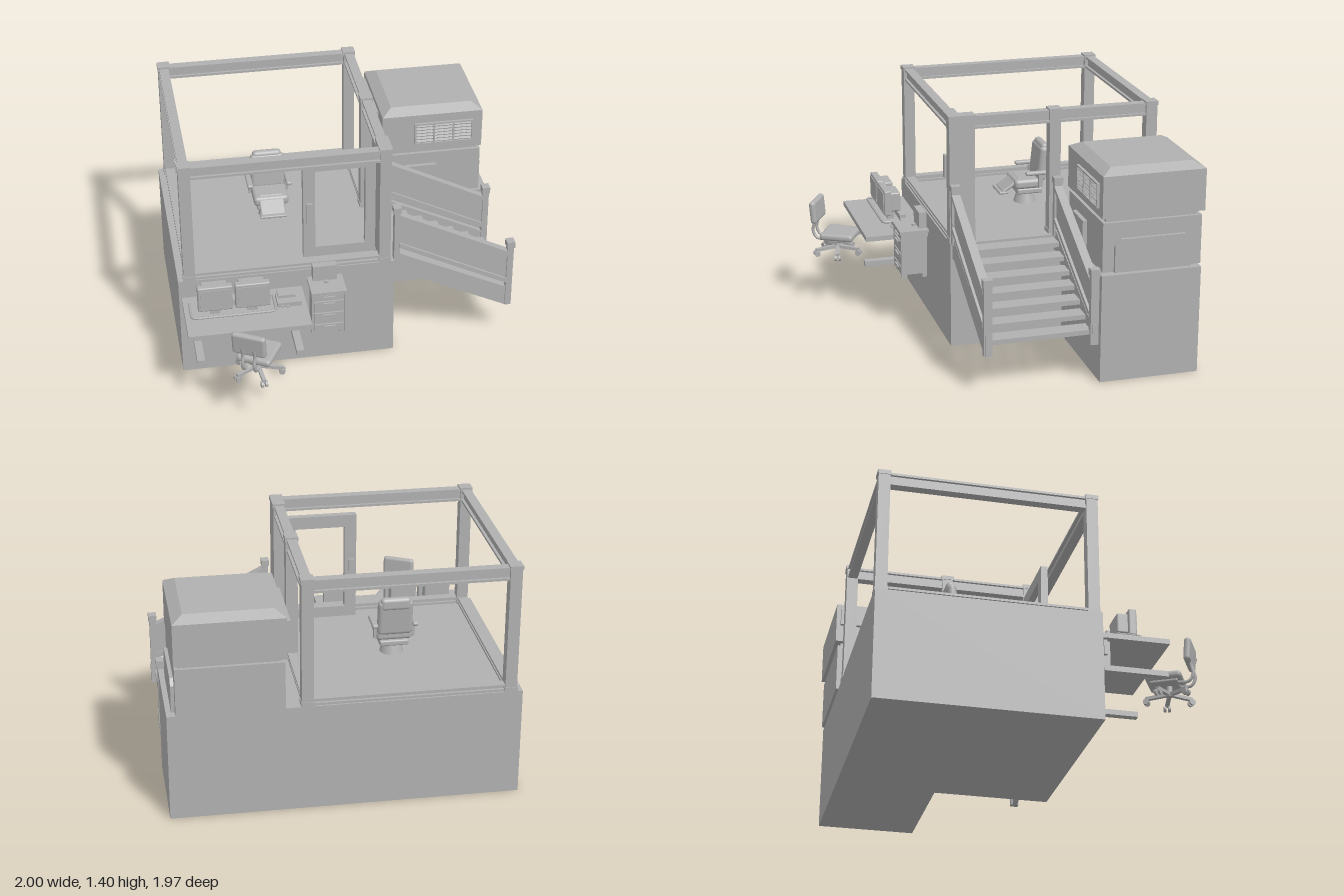
import * as THREE from 'three';
import { RoundedBoxGeometry } from 'three/addons/geometries/RoundedBoxGeometry.js';

const grey = new THREE.MeshStandardMaterial({ color: 0xb0b0b0 });
grey.name = 'plain grey';

function add(parent, name, geo, x = 0, y = 0, z = 0) {
  const m = new THREE.Mesh(geo, grey);
  m.name = name;
  m.position.set(x, y, z);
  parent.add(m);
  return m;
}
// box given by its limits on each axis
function box(parent, name, x0, x1, y0, y1, z0, z1) {
  return add(parent, name, new THREE.BoxGeometry(x1 - x0, y1 - y0, z1 - z0),
    (x0 + x1) / 2, (y0 + y1) / 2, (z0 + z1) / 2);
}
function soft(parent, name, w, h, d, r, x, y, z) {
  return add(parent, name, new RoundedBoxGeometry(w, h, d, 3, r), x, y, z);
}
// outline in x,y pushed out along z
function slab(parent, name, pts, z0, depth) {
  const s = new THREE.Shape(pts.map(p => new THREE.Vector2(p[0], p[1])));
  return add(parent, name, new THREE.ExtrudeGeometry(s, { depth, bevelEnabled: false }), 0, 0, z0);
}
function group(parent, name, x = 0, y = 0, z = 0) {
  const g = new THREE.Group();
  g.name = name;
  g.position.set(x, y, z);
  parent.add(g);
  return g;
}

// L-shaped base
function base(root) {
  const s = new THREE.Shape([[-1, -0.31], [0.27, -0.31], [0.27, 0.37], [0.99, 0.37], [0.99, 0.955], [-1, 0.955]]
    .map(p => new THREE.Vector2(p[0], p[1])));
  const g = new THREE.ExtrudeGeometry(s, { depth: 0.64, bevelEnabled: false });
  g.rotateX(-Math.PI / 2);
  add(root, 'base', g);
}

// open cab frame: posts, channel beams and sills
function cab(root) {
  const c = group(root, 'cabFrame');
  const posts = [[-0.97, -0.895, -0.955, -0.88], [0.175, 0.25, -0.955, -0.88], [-0.97, -0.895, 0.235, 0.31],
    [0.175, 0.25, 0.15, 0.31], [0.175, 0.25, -0.365, -0.29]];
  for (const [x0, x1, z0, z1] of posts) {
    box(c, 'post', x0 + 0.004, x1 - 0.004, 0.64, 1.375, z0 + 0.004, z1 - 0.004);
    box(c, 'postCap', x0, x1, 1.375, 1.4, z0, z1);
    box(c, 'postFoot', x0, x1, 0.64, 0.665, z0, z1);
  }
  const alongX = (name, z, y0, y1) => {
    box(c, name, -0.9, 0.18, y0, y1, z - 0.012, z + 0.012);
    box(c, name + 'Flange', -0.9, 0.18, y1 - 0.014, y1, z - 0.028, z + 0.028);
    box(c, name + 'Flange', -0.9, 0.18, y0, y0 + 0.014, z - 0.028, z + 0.028);
  };
  const alongZ = (name, x, z0, z1, y0, y1) => {
    box(c, name, x - 0.012, x + 0.012, y0, y1, z0, z1);
    box(c, name + 'Flange', x - 0.028, x + 0.028, y1 - 0.014, y1, z0, z1);
    box(c, name + 'Flange', x - 0.028, x + 0.028, y0, y0 + 0.014, z0, z1);
  };
  for (const z of [-0.917, 0.273]) {
    alongX('beam', z, 1.315, 1.39);
    alongX('sill', z, 0.64, 0.68);
  }
  alongZ('beam', -0.932, -0.89, 0.24, 1.315, 1.39);
  alongZ('sill', -0.932, -0.89, 0.24, 0.64, 0.68);
  alongZ('beam', 0.212, -0.89, 0.16, 1.315, 1.39);
  alongZ('sill', 0.212, -0.89, -0.36, 0.64, 0.68);

  // open door standing inside the cab
  const s = new THREE.Shape([[-0.25, 0.65], [0.175, 0.65], [0.175, 1.305], [-0.25, 1.305]].map(p => new THREE.Vector2(...p)));
  s.holes.push(new THREE.Path([[-0.18, 0.715], [-0.18, 1.23], [0.115, 1.23], [0.115, 0.715]].map(p => new THREE.Vector2(...p))));
  add(c, 'door', new THREE.ExtrudeGeometry(s, { depth: 0.042, bevelEnabled: false }), 0, 0, 0.155);
  for (const z of [0.135, 0.217]) {
    box(c, 'doorHandle', -0.235, -0.198, 0.89, 1.03, z - 0.008, z + 0.008);
    for (const y of [0.905, 1.005]) box(c, 'handleMount', -0.226, -0.207, y, y + 0.015, Math.min(z, 0.17), Math.max(z, 0.18));
  }
}

// stair with panelled sides
function stairs(root) {
  const g = group(root, 'stairs');
  const line = (y0, y1, h) => [[0.3, y0 - h], [0.96, y1 - h], [0.96, y1], [0.3, y0]];
  for (const z of [0.255, -0.36]) {
    slab(g, 'sidePanel', line(0.94, 0.61, 0.2), z + 0.018, 0.02);
    slab(g, 'handrail', line(0.95, 0.62, 0.03), z + 0.003, 0.05);
    slab(g, 'lowerRail', line(0.755, 0.425, 0.03), z + 0.003, 0.05);
    slab(g, 'stringer', [[0.27, 0.55], [0.305, 0.55], [0.95, 0.235], [0.995, 0.235], [0.995, 0.36], [0.96, 0.36], [0.3, 0.68], [0.27, 0.68]], z + 0.012, 0.03);
    box(g, 'topPost', 0.268, 0.302, 0.64, 0.98, z + 0.004, z + 0.051);
    box(g, 'topPostCap', 0.262, 0.308, 0.965, 1.0, z, z + 0.055);
    box(g, 'bottomPost', 0.955, 0.992, 0.235, 0.66, z + 0.004, z + 0.051);
    box(g, 'bottomPostCap', 0.95, 0.998, 0.645, 0.685, z, z + 0.055);
  }
  for (let i = 0; i < 7; i++) {
    const x = 0.27 + 0.1 * i, y = 0.625 - 0.051 * i;
    box(g, 'tread', x, x + 0.1, y - 0.028, y, -0.33, 0.275);
  }
}

// cooling unit on the rear corner
function cooler(root) {
  const g = group(root, 'coolingUnit');
  box(g, 'lowerCase', 0.337, 0.94, 0.64, 0.93, -0.97, -0.388);
  box(g, 'neck', 0.36, 0.92, 0.93, 0.955, -0.95, -0.41);
  box(g, 'upperCase', 0.328, 0.945, 0.955, 1.2, -0.985, -0.382);
  const lid = new THREE.BoxGeometry(0.617, 0.036, 0.603);
  const p = lid.attributes.position;
  for (let i = 0; i < p.count; i++) if (p.getY(i) > 0) {
    p.setX(i, p.getX(i) - Math.sign(p.getX(i)) * 0.062);
    p.setZ(i, p.getZ(i) - Math.sign(p.getZ(i)) * 0.062);
  }
  lid.computeVertexNormals();
  add(g, 'slopedLid', lid, 0.6365, 1.218, -0.6835);
  // grille
  for (const y of [1.002, 1.137]) box(g, 'grilleFrame', 0.525, 0.887, y, y + 0.01, -0.383, -0.365);
  for (const x of [0.525, 0.64, 0.76, 0.877]) box(g, 'grilleBar', x, x + 0.01, 1.002, 1.147, -0.383, -0.366);
  for (let i = 0; i < 6; i++) {
    const slat = box(g, 'grilleSlat', 0.535, 0.88, 1.02 + i * 0.021, 1.025 + i * 0.021, -0.386, -0.368);
    slat.rotation.x = 0.5;
  }
  box(g, 'sideDuct', 0.305, 0.33, 1.06, 1.17, -0.96, -0.52);
  box(g, 'controlBox', 0.47, 0.665, 0.645, 0.855, -0.39, -0.362);
  const hatch = slab(g, 'sideHatch', [[-0.225, 0.64], [0.225, 0.64], [0.225, 0.8], [0.19, 0.835], [-0.19, 0.835], [-0.225, 0.8]], 0, 0.022);
  hatch.rotation.y = Math.PI / 2;
  hatch.position.set(0.938, 0, -0.68);
}

// desk, screens and small equipment in front of the wall
function workplace(root) {
  const g = group(root, 'workplace');
  box(g, 'deskTop', -0.985, -0.28, 0.497, 0.527, 0.31, 0.695);
  box(g, 'deskApron', -0.96, -0.31, 0.41, 0.497, 0.325, 0.345);
  for (const x of [-0.92, -0.35]) {
    box(g, 'deskColumn', x - 0.018, x + 0.018, 0.33, 0.497, 0.318, 0.365);
    box(g, 'deskFoot', x - 0.022, x + 0.022, 0.32, 0.352, 0.33, 0.695);
  }
  for (const x of [-0.81, -0.595]) {
    soft(g, 'screen', 0.2, 0.16, 0.045, 0.008, x, 0.652, 0.51);
    soft(g, 'screenBack', 0.15, 0.12, 0.07, 0.01, x, 0.65, 0.46);
    box(g, 'screenBezel', x - 0.085, x + 0.085, 0.592, 0.715, 0.531, 0.537);
    box(g, 'screenNeck', x - 0.03, x + 0.03, 0.53, 0.6, 0.46, 0.5);
  }
  const rail = new THREE.CatmullRomCurve3([[-0.95, 0.4], [-0.95, 0.52], [-0.925, 0.55], [-0.49, 0.55], [-0.465, 0.52], [-0.465, 0.4]]
    .map(p => new THREE.Vector3(p[0], 0.545, p[1])), false, 'catmullrom', 0.2);
  add(g, 'screenStandRail', new THREE.TubeGeometry(rail, 40, 0.008, 6));
  box(g, 'cableTray', -0.88, -0.53, 0.527, 0.56, 0.39, 0.43);
  box(g, 'deskUnit', -0.45, -0.31, 0.527, 0.555, 0.38, 0.5);
  box(g, 'deskUnitTop', -0.44, -0.34, 0.555, 0.572, 0.385, 0.45);
  for (const x of [-0.43, -0.4]) box(g, 'deskUnitKey', x, x + 0.015, 0.53, 0.54, 0.5, 0.512);

  // drawer cabinet
  box(g, 'cabinet', -0.245, -0.065, 0.345, 0.61, 0.37, 0.52);
  box(g, 'cabinetTop', -0.258, -0.052, 0.605, 0.622, 0.36, 0.535);
  box(g, 'wallBox', -0.23, -0.09, 0.622, 0.72, 0.365, 0.41);
  for (const [y0, y1] of [[0.35, 0.395], [0.405, 0.475], [0.485, 0.555], [0.57, 0.6]]) {
    box(g, 'drawer', -0.24, -0.07, y0, y1, 0.515, 0.53);
    box(g, 'drawerPull', -0.19, -0.12, y1 - 0.016, y1 - 0.008, 0.53, 0.54);
  }
  for (const x of [-0.25, -0.06]) box(g, 'cabinetEdge', x - 0.007, x + 0.007, 0.33, 0.605, 0.505, 0.53);
  for (const x of [-0.23, -0.08]) for (const z of [0.385, 0.505])
    box(g, 'cabinetFoot', x - 0.013, x + 0.013, 0.32, 0.346, z - 0.013, z + 0.013);
  add(g, 'topKnob', new THREE.CylinderGeometry(0.012, 0.012, 0.012, 16), -0.155, 0.627, 0.43);
}

// swivel chair by the desk
function deskChair(root) {
  const g = group(root, 'deskChair', -0.61, 0, 0.81);
  g.rotation.y = -0.5;
  soft(g, 'seat', 0.205, 0.045, 0.21, 0.02, 0, 0.452, -0.02);
  soft(g, 'seatPan', 0.16, 0.02, 0.16, 0.008, 0, 0.425, -0.02);
  const back = soft(g, 'backrest', 0.2, 0.14, 0.04, 0.018, 0, 0.602, 0.125);
  back.rotation.x = 0.08;
  for (const x of [-0.035, 0.035]) {
    const c = new THREE.CatmullRomCurve3([[0.425, 0.04], [0.425, 0.12], [0.47, 0.145], [0.53, 0.135], [0.59, 0.152]]
      .map(p => new THREE.Vector3(x, p[0], p[1])));
    add(g, 'backSupport', new THREE.TubeGeometry(c, 20, 0.01, 8));
  }
  add(g, 'gasColumn', new THREE.CylinderGeometry(0.016, 0.02, 0.07, 14), 0, 0.39, 0);
  for (let i = 0; i < 5; i++) {
    const arm = group(g, 'starArm', 0, 0, 0);
    arm.rotation.y = i * Math.PI * 0.4 + 0.3;
    const beam = box(arm, 'starBeam', 0, 0.14, 0.353, 0.372, -0.011, 0.011);
    beam.rotation.z = -0.08;
    for (const z of [-0.012, 0.012])
      add(arm, 'caster', new THREE.CylinderGeometry(0.018, 0.018, 0.014, 14).rotateX(Math.PI / 2), 0.135, 0.336, z);
  }
}

// operator seat inside the cab
function operatorSeat(root) {
  const g = group(root, 'operatorSeat', -0.375, 0, 0);
  add(g, 'pedestal', new THREE.CylinderGeometry(0.045, 0.07, 0.08, 20), 0, 0.68, -0.33);
  soft(g, 'suspension', 0.17, 0.035, 0.16, 0.01, 0, 0.725, -0.34);
  soft(g, 'seat', 0.21, 0.06, 0.18, 0.022, 0, 0.775, -0.33);
  const back = soft(g, 'backrest', 0.205, 0.22, 0.055, 0.025, 0, 0.895, -0.42);
  back.rotation.x = -0.1;
  soft(g, 'headrest', 0.175, 0.075, 0.05, 0.022, 0, 0.985, -0.435);
  const foot = soft(g, 'legRest', 0.15, 0.022, 0.14, 0.01, 0, 0.765, -0.225);
  foot.rotation.x = 0.6;
  soft(g, 'footPlate', 0.16, 0.016, 0.06, 0.006, 0, 0.725, -0.175);
  for (const s of [-1, 1]) {
    soft(g, 'armrest', 0.035, 0.024, 0.15, 0.01, s * 0.118, 0.85, -0.375);
    box(g, 'armSupport', s * 0.112 - 0.008, s * 0.112 + 0.008, 0.76, 0.845, -0.41, -0.385);
  }
}

export function createModel() {
  const root = new THREE.Group();
  root.name = 'controlCabin';
  for (const part of [base, cab, stairs, cooler, workplace, deskChair, operatorSeat]) part(root);
  return root;
}
